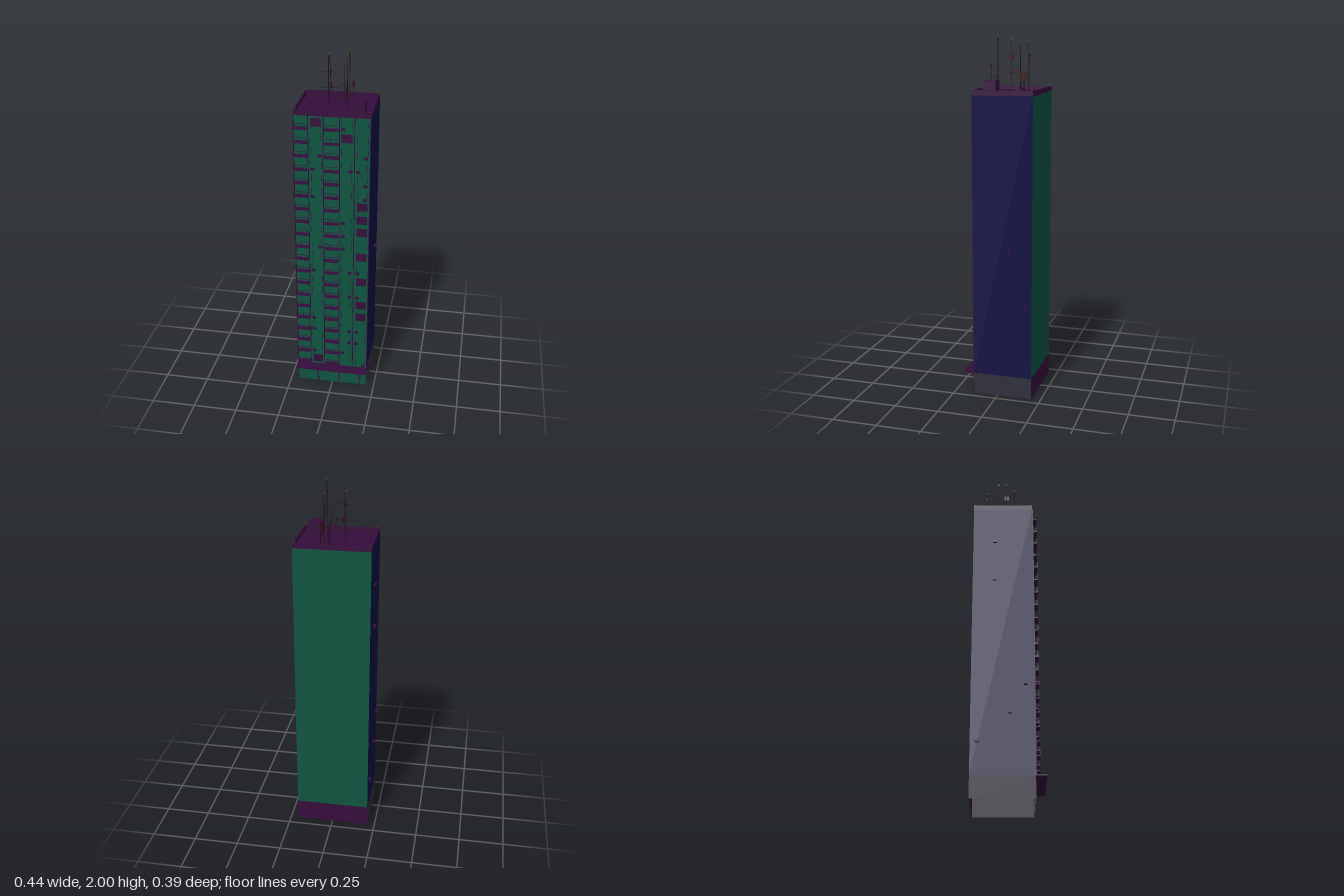
import * as THREE from 'three';

const mat = (name, color) => {
  const m = new THREE.MeshStandardMaterial({ color, side: THREE.DoubleSide });
  m.name = name;
  return m;
};

export function createModel() {
  const green = mat('green wall', 0x0f5540);
  const navy = mat('navy wall', 0x0d0d45);
  const purple = mat('purple trim', 0x360d3c);
  const grey = mat('grey base', 0x302f3c);
  const dark = mat('dark metal', 0x251014);
  const red = mat('dark red dish', 0x3c0a10);
  const olive = mat('olive tip', 0x4a4a12);

  const model = new THREE.Group();
  model.name = 'towerBlock';
  const group = (name) => {
    const g = new THREE.Group();
    g.name = name;
    model.add(g);
    return g;
  };
  const box = (parent, name, m, w, h, d, x, y, z) => {
    const b = new THREE.Mesh(new THREE.BoxGeometry(w, h, d), m);
    b.name = name;
    b.position.set(x, y, z);
    parent.add(b);
    return b;
  };
  const wall = (parent, name, m, w, y0, y1, x, z, turn) => {
    const p = new THREE.Mesh(new THREE.PlaneGeometry(w, y1 - y0), m);
    p.name = name;
    p.position.set(x, (y0 + y1) / 2, z);
    p.rotation.y = turn;
    parent.add(p);
  };

  const X = 0.207, ZB = -0.197, ZF = 0.138, BASE = 0.12, TOP = 1.69;
  const depth = ZF - ZB, midZ = (ZF + ZB) / 2;

  // Hollow shell, open underneath
  const shell = group('shell');
  wall(shell, 'frontWall', green, 2 * X, 0, TOP, 0, ZF, 0);
  wall(shell, 'backWall', green, 2 * X, BASE, TOP, 0, ZB, Math.PI);
  wall(shell, 'backBase', purple, 2 * X, 0, BASE, 0, ZB, Math.PI);
  for (const s of [-1, 1]) {
    wall(shell, 'sideWall', navy, depth, BASE, TOP, s * X, midZ, s * Math.PI / 2);
    wall(shell, 'sideBase', grey, depth, 0, BASE, s * X, midZ, s * Math.PI / 2);
  }

  // Ground floor: outlined shop fronts and the canopy
  const ground = group('groundFloor');
  for (const [a, b] of [[-0.203, -0.09], [-0.082, 0.036], [0.046, 0.158], [0.168, 0.203]]) {
    const w = b - a, x = (a + b) / 2;
    box(ground, 'shopFrame', purple, w, 0.003, 0.004, x, 0.09, ZF);
    for (const e of [a, b]) box(ground, 'shopFrame', purple, 0.003, 0.09, 0.004, e, 0.045, ZF);
  }
  box(ground, 'canopy', purple, 2 * X, 0.009, 0.06, 0, 0.12, 0.167);

  // Vertical fins between the window columns
  const fins = group('fins');
  for (const x of [-0.205, -0.127, -0.046, 0.041, 0.121, 0.205])
    box(fins, 'fin', purple, 0.004, TOP - BASE, 0.006, x, (TOP + BASE) / 2, ZF + 0.002);

  // Balconies and window sills on every floor
  const floors = group('floors');
  const step = 0.0778;
  for (let i = 0; i < 20; i++) {
    const y = 0.142 + i * step;
    for (const [x, w] of [[-0.167, 0.076], [-0.002, 0.08]]) {
      box(floors, 'balconySlab', purple, w, 0.006, 0.025, x, y, ZF + 0.0125);
      box(floors, 'railTop', purple, w, 0.002, 0.002, x, y + 0.03, ZF + 0.024);
      if (x < -0.1 || i % 2) box(floors, 'railMiddle', purple, w, 0.002, 0.002, x, y + 0.016, ZF + 0.024);
      for (const s of [-1, 0, 1])
        box(floors, 'railPost', purple, 0.002, 0.03, 0.002, x + s * (w / 2 - 0.001), y + 0.015, ZF + 0.024);
    }
    // Thin window edges
    for (const [x, w] of [[-0.085, 0.055], [0.08, 0.055], [0.165, 0.055]])
      for (const s of [-1, 1])
        box(floors, 'windowEdge', purple, 0.0015, 0.045, 0.002, x + s * w / 2, y + 0.027, ZF + 0.001);
  }

  // Closed shutters
  const shutters = group('shutters');
  for (const [x, y] of [[-0.085, 1.655], [0.08, 1.575], [0.165, 1.185], [0.165, 1.105], [0.165, 1.03],
    [0.165, 0.875], [0.165, 0.715], [0.165, 0.56], [0.165, 0.48], [-0.085, 0.165]])
    box(shutters, 'shutter', purple, 0.055, 0.045, 0.008, x, y, ZF + 0.004);

  // Cooling units: rows of x positions by height on the front, then the sides
  const units = group('coolingUnits');
  const rows = [[1.625, 0.06], [1.47, -0.065, 0.182], [1.39, -0.105, 0.1, 0.142], [1.31, 0.182],
    [1.23, -0.105, 0.182], [1.08, 0.06], [1, 0.06], [0.92, -0.065, 0.06], [0.77, -0.105, 0.1, 0.142],
    [0.61, 0.1, 0.142], [0.45, -0.105], [0.375, -0.105, 0.1, 0.142], [0.295, 0.1, 0.142],
    [0.22, -0.105, 0.06], [0.14, 0.185]];
  for (const [y, ...xs] of rows)
    for (const x of xs) box(units, 'frontUnit', purple, 0.02, 0.013, 0.01, x, y, ZF + 0.005);
  for (const [s, y, z] of [[-1, 1.47, -0.075], [-1, 1.23, -0.075], [-1, 0.61, 0.092], [-1, 0.45, 0.01],
    [-1, 0.295, -0.16], [1, 0.84, -0.075], [1, 0.53, -0.16], [1, 0.14, 0.092]])
    box(units, 'sideUnit', purple, 0.015, 0.013, 0.02, s * (X + 0.0075), y, z);

  // Roof deck, parapet, corner posts, stair house and vents
  const roof = group('roof');
  box(roof, 'deck', purple, 2 * X, 0.006, depth, 0, TOP, midZ);
  for (const s of [-1, 1]) {
    box(roof, 'sideParapet', purple, 0.009, 0.024, depth, s * (X - 0.0045), 1.703, midZ);
    box(roof, 'endParapet', purple, 2 * X, 0.024, 0.009, 0, 1.703, s > 0 ? ZF - 0.0045 : ZB + 0.0045);
    for (const z of [-0.189, 0.125]) {
      box(roof, 'cornerPost', purple, 0.01, 0.026, 0.01, s * 0.198, 1.706, z);
      box(roof, 'cornerTip', olive, 0.009, 0.004, 0.009, s * 0.198, 1.721, z);
    }
  }
  box(roof, 'stairHouse', purple, 0.076, 0.072, 0.068, 0.128, 1.727, 0.054);
  for (const x of [-0.162, -0.13, -0.098]) box(roof, 'vent', purple, 0.025, 0.016, 0.024, x, 1.7, -0.033);

  // Masts, cross arms and dishes
  const aerials = group('aerials');
  for (const [x, z, top] of [[0.02, -0.13, 1.915], [0.05, -0.132, 1.97], [-0.052, -0.058, 1.965],
    [-0.035, -0.013, 1.98], [0.065, 0.035, 2], [0.045, 0.078, 1.84], [0.022, 0.065, 1.79],
    [0.073, -0.112, 1.8], [0.038, -0.09, 1.78]]) {
    const mast = new THREE.Mesh(new THREE.CylinderGeometry(0.0018, 0.0022, top - TOP, 6), dark);
    mast.name = 'mast';
    mast.position.set(x, (top + TOP) / 2, z);
    aerials.add(mast);
    if (top > 1.9) box(aerials, 'mastTip', olive, 0.007, 0.008, 0.007, x, top - 0.004, z);
  }
  for (const [x, y, z, w] of [[-0.05, 1.795, -0.013, 0.105], [-0.04, 1.88, -0.013, 0.075],
    [0.022, 1.775, 0.065, 0.065], [0.066, 1.845, 0.078, 0.07]])
    box(aerials, 'crossArm', dark, w, 0.002, 0.002, x, y, z);
  box(aerials, 'longArm', dark, 0.002, 0.002, 0.08, 0.05, 1.86, -0.13);
  for (const [x, y, z, size] of [[-0.033, 1.878, -0.01, 0.028], [-0.033, 1.802, -0.033, 0.026],
    [0.073, 1.787, -0.11, 0.034], [0.038, 1.765, -0.09, 0.024]])
    box(aerials, 'dish', red, 0.006, size, size, x, y, z);

  return model;
}
